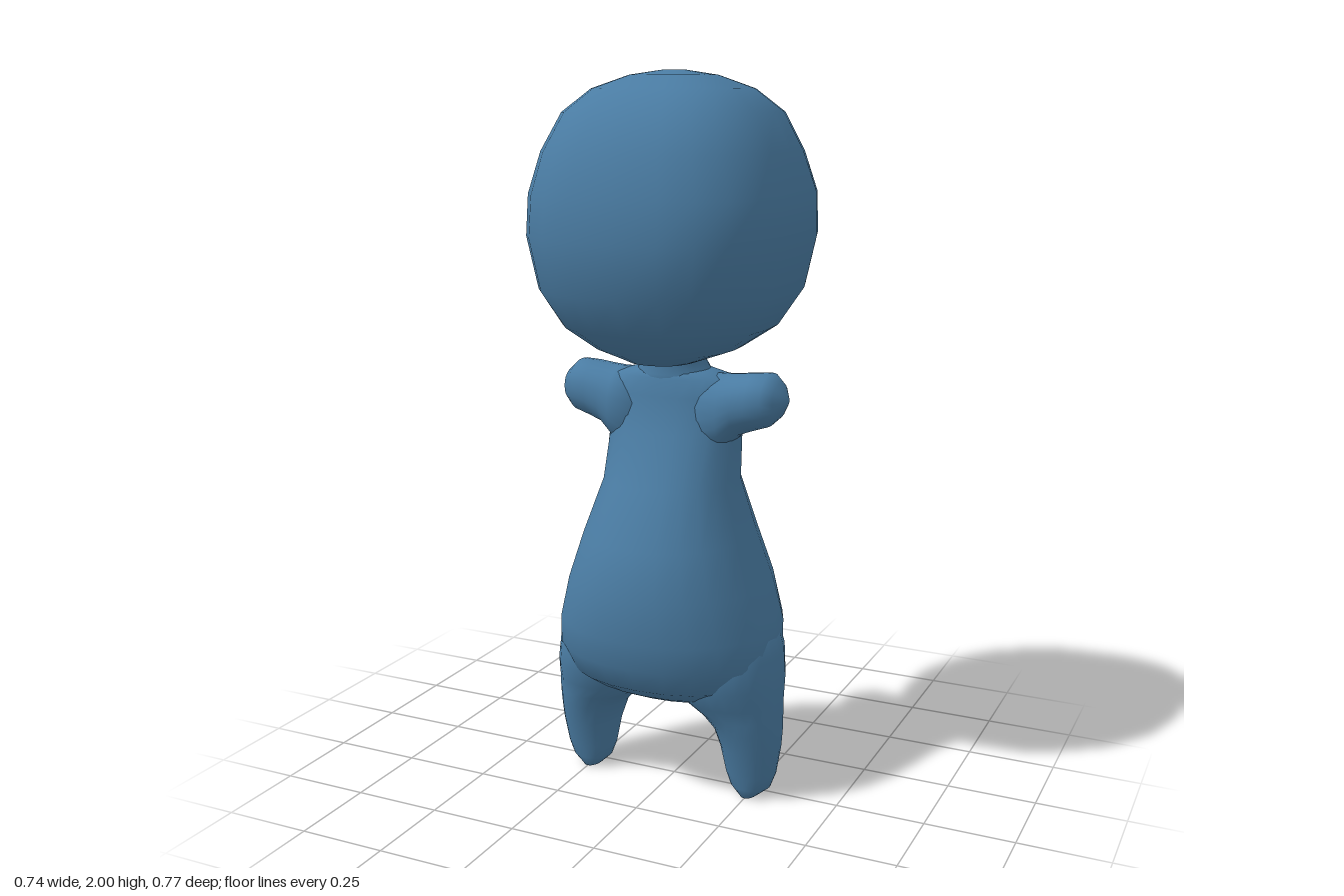
import * as THREE from 'three';

const material = new THREE.MeshStandardMaterial({ color: 0x4a7ca3 });
const SEGMENTS = 24;

// Skin over rounded rings stacked on y. Row: [y, xMin, xMax, zMin, zMax];
// power 2 gives ellipses, more gives squarer rings.
function loft(rows, power = 2) {
  const positions = [], index = [], n = SEGMENTS;
  const bend = (v) => Math.sign(v) * Math.abs(v) ** (2 / power);
  for (const [y, x0, x1, z0, z1] of rows) {
    for (let j = 0; j < n; j++) {
      const a = (j / n) * Math.PI * 2;
      positions.push(
        (x0 + x1) / 2 + bend(Math.cos(a)) * (x1 - x0) / 2,
        y,
        (z0 + z1) / 2 + bend(Math.sin(a)) * (z1 - z0) / 2);
    }
  }
  for (let i = 0; i < rows.length - 1; i++) {
    for (let j = 0; j < n; j++) {
      const k = (j + 1) % n, lo = i * n, hi = lo + n;
      index.push(lo + j, hi + j, lo + k, lo + k, hi + j, hi + k);
    }
  }
  // Close both ends
  const centre = ([y, x0, x1, z0, z1]) => positions.push((x0 + x1) / 2, y, (z0 + z1) / 2);
  const last = (rows.length - 1) * n, bottom = rows.length * n;
  centre(rows[0]);
  centre(rows[rows.length - 1]);
  for (let j = 0; j < n; j++) {
    const k = (j + 1) % n;
    index.push(bottom, j, k, bottom + 1, last + k, last + j);
  }
  const geometry = new THREE.BufferGeometry();
  geometry.setAttribute('position', new THREE.Float32BufferAttribute(positions, 3));
  geometry.setIndex(index);
  geometry.computeVertexNormals();
  return geometry;
}

// Rows symmetric in x: [y, halfWidth, zMin, zMax]
const symmetric = (rows) => rows.map(([y, w, z0, z1]) => [y, -w, w, z0, z1]);

export function createModel() {
  const group = new THREE.Group();
  const add = (name, geometry) => {
    const mesh = new THREE.Mesh(geometry, material);
    mesh.name = name;
    group.add(mesh);
    return mesh;
  };

  // Large rounded head
  add('head', loft(symmetric([
    [1.235, 0.09, -0.09, 0.16],
    [1.27, 0.19, -0.17, 0.22],
    [1.33, 0.28, -0.26, 0.29],
    [1.43, 0.34, -0.355, 0.36],
    [1.57, 0.37, -0.383, 0.385],
    [1.68, 0.367, -0.378, 0.372],
    [1.79, 0.33, -0.348, 0.348],
    [1.89, 0.28, -0.29, 0.287],
    [1.95, 0.205, -0.215, 0.215],
    [1.985, 0.11, -0.12, 0.12],
    [1.998, 0.03, -0.03, 0.03],
  ]), 2.5));

  // Short neck
  add('neck', loft(symmetric([
    [1.12, 0.14, -0.1, 0.1],
    [1.2, 0.105, -0.1, 0.095],
    [1.23, 0.088, -0.09, 0.09],
    [1.3, 0.09, -0.09, 0.09],
  ])));

  // Pear-shaped torso with rounded belly
  add('torso', loft(symmetric([
    [0.267, 0.1, -0.05, 0.09],
    [0.285, 0.19, -0.09, 0.14],
    [0.31, 0.245, -0.14, 0.19],
    [0.35, 0.29, -0.205, 0.25],
    [0.42, 0.32, -0.25, 0.285],
    [0.5, 0.316, -0.275, 0.3],
    [0.62, 0.282, -0.275, 0.305],
    [0.75, 0.238, -0.232, 0.27],
    [0.9, 0.19, -0.172, 0.193],
    [1.04, 0.19, -0.145, 0.122],
    [1.14, 0.195, -0.118, 0.102],
    [1.19, 0.17, -0.102, 0.096],
    [1.21, 0.09, -0.08, 0.08],
  ]), 2.15));

  // Tapered legs that spread into the hips
  const leg = [
    [0.002, 0.225, 0.275, -0.015, 0.07],
    [0.03, 0.195, 0.31, -0.025, 0.08],
    [0.07, 0.18, 0.325, -0.037, 0.09],
    [0.15, 0.165, 0.337, -0.06, 0.113],
    [0.21, 0.145, 0.34, -0.08, 0.132],
    [0.25, 0.11, 0.34, -0.09, 0.147],
    [0.29, 0.05, 0.34, -0.105, 0.163],
    [0.35, 0.03, 0.338, -0.15, 0.195],
    [0.43, 0.03, 0.328, -0.17, 0.2],
    [0.56, 0.03, 0.295, -0.13, 0.16],
  ];
  add('leftLeg', loft(leg));
  add('rightLeg', loft(leg.map(([y, x0, x1, z0, z1]) => [y, -x1, -x0, z0, z1])));

  // Stub arms, lofted upright and then laid sideways
  const arm = [
    [0.08, -1.2, -0.96, -0.1, 0.095],
    [0.16, -1.2, -0.99, -0.098, 0.093],
    [0.2, -1.203, -1.035, -0.092, 0.09],
    [0.24, -1.208, -1.05, -0.088, 0.088],
    [0.285, -1.21, -1.065, -0.085, 0.085],
    [0.312, -1.185, -1.09, -0.06, 0.06],
    [0.332, -1.15, -1.125, -0.018, 0.018],
  ];
  add('leftArm', loft(arm, 2.2).rotateZ(-Math.PI / 2));
  add('rightArm', loft(arm, 2.2).rotateZ(-Math.PI / 2).rotateY(Math.PI));

  return group;
}
